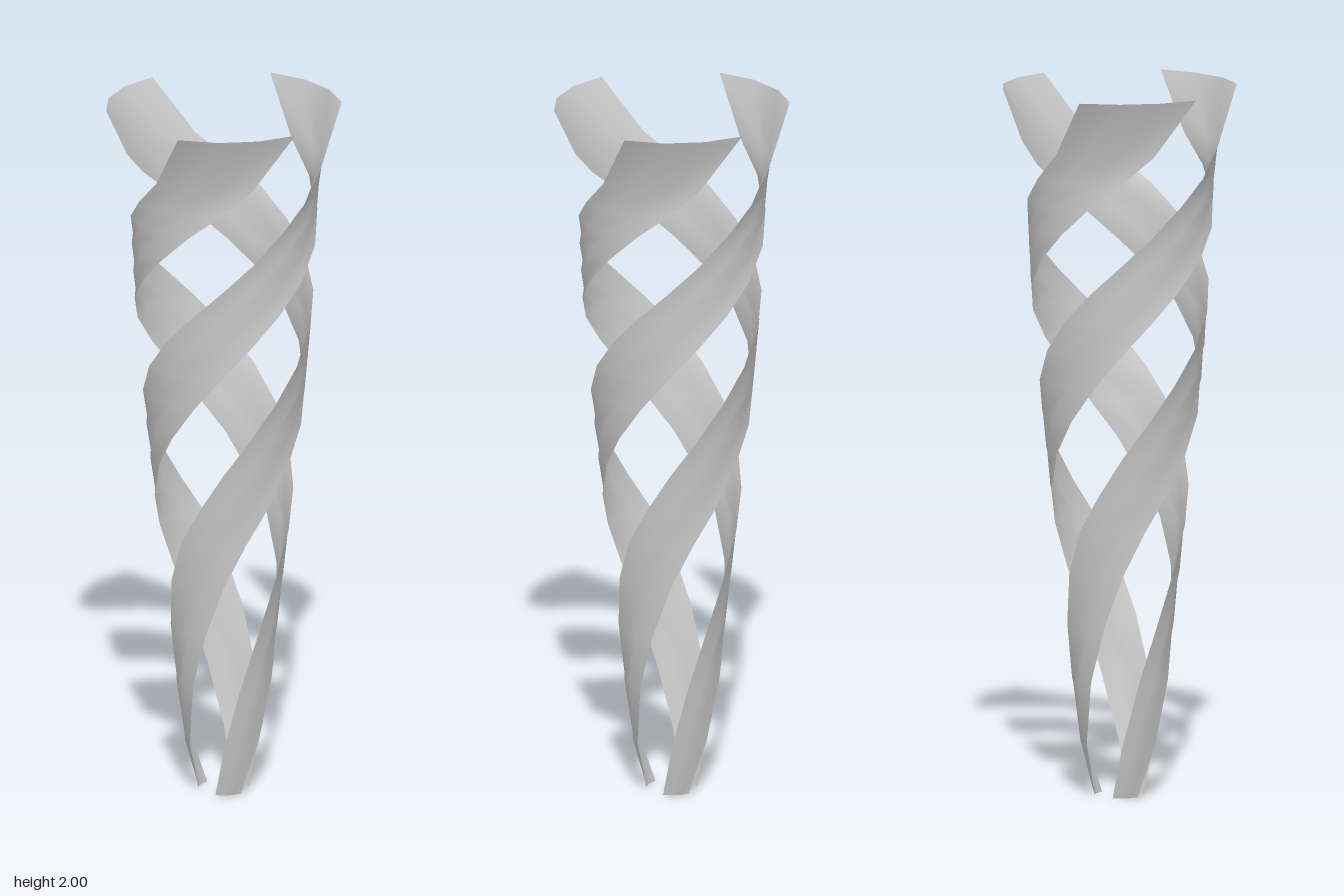
import * as THREE from 'three';

const COLS = 3;
const STRIP = THREE.MathUtils.degToRad(60); // angular width of a ribbon
const TWIST = THREE.MathUtils.degToRad(356.5); // turn from foot to rim
const CENTRE_X = 0.0125; // axis offset

// Height and radius of each row: narrow foot, gentle swell, flared rim
const ROWS = [
  [0, 0.072], [0.15, 0.111], [0.33, 0.135], [0.49, 0.151], [0.64, 0.168],
  [0.765, 0.183], [0.87, 0.196], [0.98, 0.208], [1.08, 0.219], [1.18, 0.229],
  [1.275, 0.238], [1.365, 0.246], [1.45, 0.252], [1.53, 0.256], [1.61, 0.26],
  [1.69, 0.263], [1.76, 0.267], [1.84, 0.278], [2, 0.331],
];

// A grid wrapped round the axis, each row turned a step further
function ribbonGeometry() {
  const last = ROWS.length - 1;
  const geometry = new THREE.PlaneGeometry(1, 1, COLS, last);
  const pos = geometry.attributes.position;
  ROWS.forEach(([y, r], i) => {
    for (let j = 0; j <= COLS; j++) {
      const a = (TWIST * i) / last + (0.5 - j / COLS) * STRIP;
      pos.setXYZ(i * (COLS + 1) + j, r * Math.sin(a), y, r * Math.cos(a));
    }
  });
  geometry.computeVertexNormals();
  return geometry;
}

export function createModel() {
  const model = new THREE.Group();
  model.name = 'spiralRibbonVase';
  const lightGrey = new THREE.MeshStandardMaterial({ color: 0xcccccc, side: THREE.DoubleSide });
  lightGrey.name = 'light grey';

  // Three equal ribbons about the axis
  const geometry = ribbonGeometry();
  for (let k = 0; k < 3; k++) {
    const ribbon = new THREE.Mesh(geometry, lightGrey);
    ribbon.name = `ribbon${k + 1}`;
    ribbon.position.x = CENTRE_X;
    ribbon.rotation.y = THREE.MathUtils.degToRad(40 + 120 * k);
    model.add(ribbon);
  }
  return model;
}
